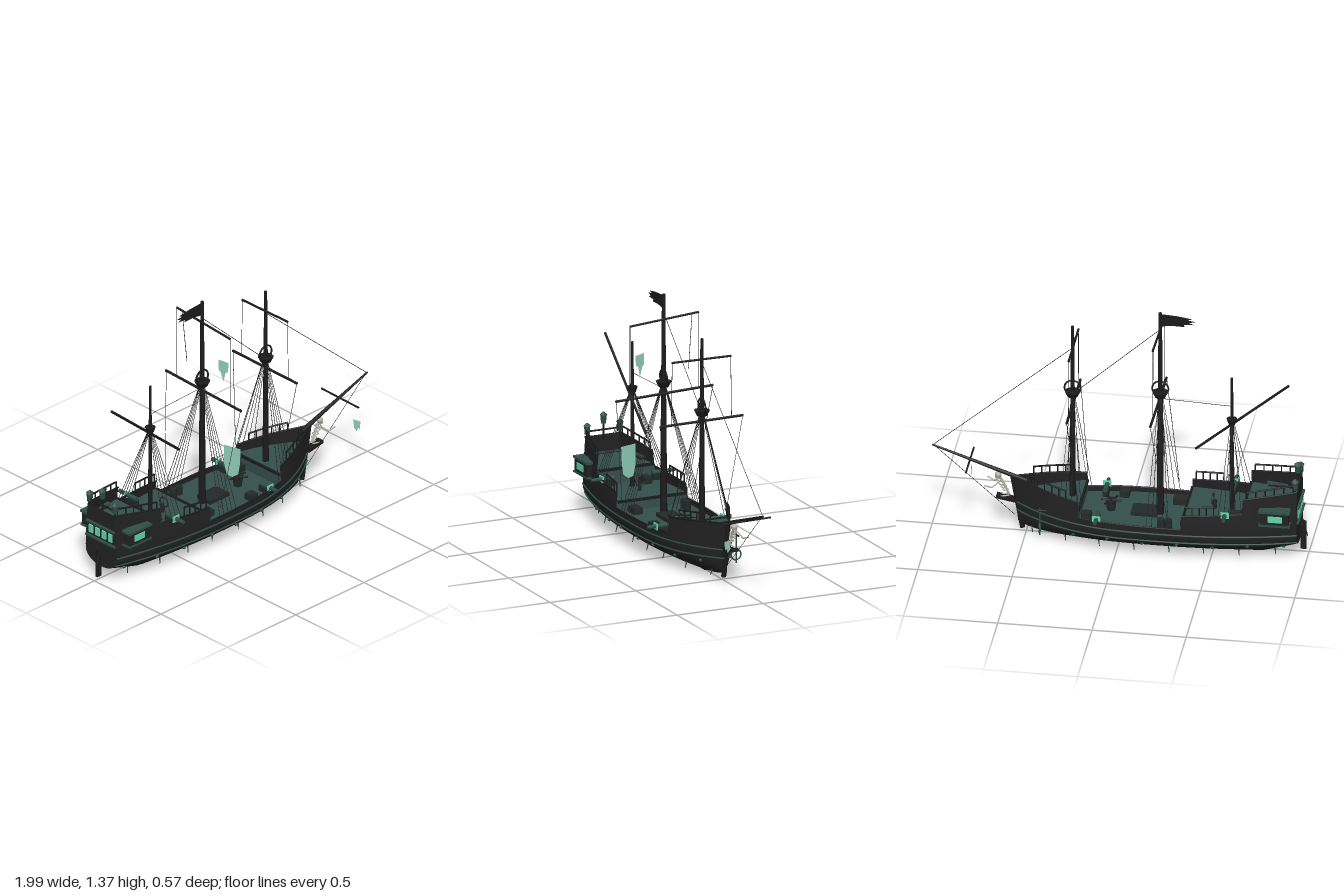
import * as THREE from 'three';

const mat = (name, color, side = THREE.FrontSide) => {
  const m = new THREE.MeshStandardMaterial({ color, side });
  m.name = name;
  return m;
};

export function createModel() {
  const ship = new THREE.Group();
  ship.name = 'ghostShip';
  const M = {
    hull: mat('blackened planks', 0x222222, THREE.DoubleSide),
    spar: mat('charred spar', 0x1c1c1c),
    rope: mat('rope', 0x262626),
    deck: mat('mossy deck', 0x34504a, THREE.DoubleSide),
    trim: mat('weathered green trim', 0x2f4f47),
    crate: mat('dark wood', 0x232a28),
    glow: mat('ghost glow', 0x66d8ae),
    sail: mat('tattered sail', 0x92cfba, THREE.DoubleSide),
    bone: mat('bone', 0xb4b4a6),
    cloth: mat('black cloth', 0x1b1b1b, THREE.DoubleSide),
  };
  const V = (x, y, z) => new THREE.Vector3(x, y, z);
  const add = (name, geo, m, x = 0, y = 0, z = 0, parent = ship) => {
    const mesh = new THREE.Mesh(geo, m);
    mesh.name = name;
    mesh.position.set(x, y, z);
    parent.add(mesh);
    return mesh;
  };
  const box = (name, m, w, h, d, x, y, z) => add(name, new THREE.BoxGeometry(w, h, d), m, x, y, z);
  const cyl = (name, m, rt, rb, h, x, y, z, n = 10) => add(name, new THREE.CylinderGeometry(rt, rb, h, n), m, x, y, z);
  // Tapered round bar from a to b
  const bar = (name, m, a, b, ra, rb = ra, n = 8) => {
    const d = b.clone().sub(a);
    const mesh = cyl(name, m, rb, ra, d.length(), 0, 0, 0, n);
    mesh.position.copy(a).addScaledVector(d, 0.5);
    mesh.quaternion.setFromUnitVectors(V(0, 1, 0), d.normalize());
    return mesh;
  };
  const rope = (a, b, name = 'rope') => bar(name, M.rope, a, b, 0.0016, 0.0016, 4);
  const tube = (name, m, pts, r, seg = 40) =>
    add(name, new THREE.TubeGeometry(new THREE.CatmullRomCurve3(pts), seg, r, 6), m);
  // Surface through equal-length rows of points
  const loft = (name, m, rows) => {
    const n = rows[0].length, idx = [];
    for (let i = 0; i < rows.length - 1; i++) for (let j = 0; j < n - 1; j++) {
      const a = i * n + j;
      idx.push(a, a + n, a + 1, a + 1, a + n, a + n + 1);
    }
    const g = new THREE.BufferGeometry().setFromPoints(rows.flat());
    g.setIndex(idx);
    g.computeVertexNormals();
    return add(name, g, m);
  };

  // Hull lines: half breadth, keel height, skin position
  const half = x => x < -0.25 ? 0.21 - 0.095 * ((-0.25 - x) / 0.7) ** 2
    : Math.max(0.004, 0.21 * (1 - ((x + 0.25) / 0.81) ** 2.9));
  const keelY = x => x < -0.77 ? 0.018 + (-0.77 - x) * 0.28 : x > 0.31 ? 0.018 + ((x - 0.31) / 0.25) ** 3 * 0.04 : 0.018;
  const skin = (x, y) => {
    if (y > 0.14) return half(x) * (1 - Math.max(0, y - 0.2) * 0.55);
    const k = Math.min(1, (0.14 - y) / (0.14 - keelY(x)));
    return half(x) * Math.sqrt(1 - k * k);
  };
  // Ship lengths: start, end, rail height at both, deck height
  const parts = [
    { name: 'poop', x0: -0.95, x1: -0.67, t0: 0.408, t1: 0.37, deck: 0.3 },
    { name: 'quarter', x0: -0.67, x1: -0.35, t0: 0.287, t1: 0.267, deck: 0.22 },
    { name: 'waist', x0: -0.35, x1: 0.2, t0: 0.19, t1: 0.197, deck: 0.165 },
    { name: 'fore', x0: 0.2, x1: 0.56, t0: 0.283, t1: 0.322, deck: 0.235 },
  ];
  const partAt = x => parts.find(p => x <= p.x1) || parts[3];
  const railY = x => { const p = partAt(x); return p.t0 + (p.t1 - p.t0) * (x - p.x0) / (p.x1 - p.x0); };
  const deckY = x => partAt(x).deck;

  const section = (x, top) => {
    const side = [];
    for (let j = 0; j <= 8; j++) {
      const a = j / 8 * Math.PI / 2;
      side.push([0.14 - Math.cos(a) * (0.14 - keelY(x)), half(x) * Math.sin(a)]);
    }
    for (let j = 1; j <= 4; j++) {
      const y = 0.14 + (top - 0.14) * j / 4;
      side.push([y, skin(x, y)]);
    }
    const rake = y => x > 0.5 ? (y - 0.2) * 0.12 * (x - 0.5) / 0.06 : 0;
    const pt = s => ([y, z]) => V(x + rake(y), y, s * z);
    return [...side.slice(1).reverse().map(pt(1)), ...side.map(pt(-1))];
  };
  parts.forEach((p, k) => {
    const N = 16, rows = [], deck = [];
    for (let i = 0; i <= N; i++) {
      const x = p.x0 + (p.x1 - p.x0) * i / N, top = p.t0 + (p.t1 - p.t0) * i / N, w = skin(x, p.deck);
      rows.push(section(x, top));
      deck.push([V(x, p.deck, w), V(x, p.deck, -w)]);
    }
    loft(p.name + 'Hull', M.hull, rows);
    loft(p.name + 'Deck', M.deck, deck);
    for (const s of [0, rows[0].length - 1]) tube(p.name + 'Gunwale', M.spar, rows.map(r => r[s]), 0.005, 24);
    // Bulkhead at each deck step
    if (k) {
      const lo = Math.min(p.deck, parts[k - 1].deck), hi = Math.max(p.deck, parts[k - 1].deck);
      loft('bulkhead', M.deck, [lo, hi].map(y => [V(p.x0, y, skin(p.x0, y)), V(p.x0, y, -skin(p.x0, y))]));
      box('deckBeam', M.spar, 0.012, 0.014, 2 * skin(p.x0, hi) - 0.01, p.x0, hi, 0);
    }
  });

  // Transom, stern windows, keel, stem and rudder
  const tr = section(-0.95, 0.408);
  loft('transom', M.hull, [tr, tr.map(v => V(v.x, v.y, 0))]);
  box('sternLedge', M.trim, 0.015, 0.01, 0.22, -0.955, 0.225, 0);
  box('sternLedge', M.trim, 0.015, 0.01, 0.21, -0.955, 0.31, 0);
  for (let i = -1.5; i <= 1.5; i++) box('sternWindow', M.glow, 0.008, 0.045, 0.03, -0.953, 0.267, i * 0.048);
  box('keel', M.spar, 1.08, 0.024, 0.018, -0.23, 0.012, 0);
  bar('stem', M.spar, V(0.52, 0.02, 0), V(0.575, 0.325, 0), 0.014, 0.012);
  box('rudder', M.spar, 0.03, 0.165, 0.014, -0.97, 0.1, 0);
  bar('rudderChain', M.rope, V(-0.99, 0.09, 0.01), V(-0.965, 0.19, 0.01), 0.003);

  for (const s of [1, -1]) {
    // Wales along the hull
    for (const y of [0.155, 0.108]) {
      const pts = [];
      for (let x = -0.95; x <= 0.551; x += 0.05) {
        const yy = y + 0.03 * Math.max(0, x) ** 2 * 2;
        pts.push(V(x, yy, s * (skin(x, yy) + 0.001)));
      }
      tube('wale', M.trim, pts, 0.005, 60);
    }
    // Quarter gallery
    box('gallery', M.hull, 0.15, 0.075, 0.05, -0.84, 0.277, s * 0.155);
    box('galleryRoof', M.trim, 0.165, 0.012, 0.06, -0.84, 0.318, s * 0.157);
    box('gallerySill', M.trim, 0.165, 0.01, 0.055, -0.84, 0.238, s * 0.157);
    box('galleryWindow', M.glow, 0.075, 0.036, 0.006, -0.845, 0.278, s * 0.181);
    // Railings above the bulwarks
    for (const [x0, x1, h, n] of [[-0.93, -0.69, 0.04, 5], [-0.52, -0.37, 0.05, 4], [0.27, 0.47, 0.045, 5]]) {
      const P = i => { const x = x0 + (x1 - x0) * i / n; return V(x, railY(x), s * (skin(x, railY(x)) - 0.004)); };
      const up = i => P(i).add(V(0, h, 0));
      for (let i = 0; i <= n; i++) bar('railPost', M.spar, P(i), up(i), 0.004, 0.004, 5);
      for (let i = 0; i < n; i++) bar('handrail', M.spar, up(i), up(i + 1), 0.005, 0.005, 5);
    }
    // Cannons with glowing ports
    for (const [x, y] of [[-0.58, 0.283], [0.1, 0.208]]) {
      const z = skin(x, y);
      bar('cannon', M.trim, V(x, y, s * (z - 0.07)), V(x, y, s * 0.243), 0.013, 0.01, 10);
      box('carriage', M.crate, 0.03, 0.03, 0.06, x, y - 0.025, s * (z - 0.04));
      box('gunPort', M.glow, 0.045, 0.034, 0.006, x, y, s * (z + 0.003));
    }
    // Barnacles and hanging weed
    for (let i = 0; i < 8; i++) {
      const x = -0.88 + i * 0.185, y = 0.08 + 0.012 * (i % 2), z = s * skin(x, y);
      add('barnacle', new THREE.IcosahedronGeometry(0.011, 0), M.trim, x, y, z);
      const w = 0.05 + 0.004 * (i % 3);
      bar('seaweed', M.trim, V(x + 0.05, w, s * skin(x + 0.05, w)), V(x + 0.045, w - 0.035, s * (skin(x + 0.05, w) + 0.006)), 0.004, 0.002, 5);
    }
  }

  // Stern lanterns
  for (const [z, y] of [[0, 0.495], [0.095, 0.445], [-0.095, 0.445]]) {
    bar('lanternPost', M.spar, V(-0.94, 0.38, z), V(-0.94, y - 0.02, z), 0.005);
    cyl('lantern', M.trim, 0.018, 0.015, 0.046, -0.94, y, z, 6);
    cyl('lanternCap', M.trim, 0.004, 0.022, 0.016, -0.94, y + 0.03, z, 6);
  }
  bar('taffrail', M.spar, V(-0.945, 0.435, 0.1), V(-0.945, 0.435, -0.1), 0.005);

  // Masts with tops, hoops and shrouds: x, top, nest height, nest radius, base radius
  for (const [x, top, nest, r, rb, hoop] of [[-0.21, 1.37, 0.88, 0.042, 0.02, 1], [0.255, 1.25, 0.845, 0.042, 0.018, 1], [-0.59, 1.01, 0.75, 0.028, 0.014, 0]]) {
    bar('mast', M.spar, V(x, 0.15, 0), V(x, top, 0), rb, rb * 0.45, 10);
    cyl('crowsNest', M.spar, r, r * 0.65, 0.03, x, nest, 0, 12);
    if (hoop) add('nestHoop', new THREE.TorusGeometry(0.043, 0.005, 6, 24), M.spar, x, nest + 0.035, 0);
    for (const s of [1, -1]) for (let i = 0; i < 5; i++) {
      const bx = x - 0.075 + i * 0.03, by = railY(bx);
      rope(V(x - 0.01 + i * 0.004, nest - 0.02, s * 0.012), V(bx, by, s * skin(bx, by)), 'shroud');
    }
  }

  // Yards and their hanging lines
  const yards = [[-0.2, 1.22, 1.25, 0.2, 0.006], [-0.2, 0.82, 0.84, 0.283, 0.007], [0.25, 1.137, 1.133, 0.172, 0.006], [0.25, 0.795, 0.8, 0.242, 0.007]];
  for (const [x, yl, yr, w, r] of yards) bar('yard', M.spar, V(x, yl, w), V(x, yr, -w), r);
  for (const s of [1, -1]) {
    rope(V(-0.2, s > 0 ? 1.22 : 1.25, s * 0.2), V(-0.2, 0.83, s * 0.2), 'sheet');
    rope(V(-0.2, 0.83, s * 0.28), V(-0.28, 0.24, s * 0.208), 'brace');
    rope(V(0.25, 1.135, s * 0.17), V(0.25, 0.8, s * 0.175), 'sheet');
    rope(V(0.25, 0.798, s * 0.24), V(0.2, 0.285, s * 0.17), 'brace');
  }
  rope(V(-0.2, 1.24, -0.16), V(-0.19, 0.95, -0.135), 'looseLine');
  bar('lateenYard', M.spar, V(-0.89, 0.98, 0.015), V(-0.395, 0.56, 0.015), 0.007);
  bar('bowsprit', M.spar, V(0.5, 0.3, 0), V(1, 0.475, 0), 0.013, 0.005);
  bar('spritYard', M.spar, V(0.8, 0.395, 0.14), V(0.8, 0.4, -0.14), 0.005);
  rope(V(-0.21, 1.27, 0), V(0.225, 0.87, 0), 'stay');
  rope(V(0.255, 1.12, 0), V(0.995, 0.475, 0), 'stay');
  rope(V(-0.59, 0.84, 0), V(-0.21, 0.855, 0), 'stay');
  rope(V(0.99, 0.473, 0), V(0.56, 0.09, 0), 'bobstay');

  // Torn sails, drawn as (z, y) outlines, and the ragged flag
  const outline = pts => new THREE.ShapeGeometry(new THREE.Shape(pts.map(p => new THREE.Vector2(...p))));
  const sail = (pts, x, y, z) => { add('sailScrap', outline(pts), M.sail, x, y, z).rotation.y = -1.3; };
  sail([[-0.05, 0.575], [0.05, 0.575], [0.045, 0.48], [0.035, 0.42], [0, 0.395], [-0.035, 0.4], [-0.05, 0.46]].map(([a, b]) => [a, b - 0.48]), -0.195, 0.48, 0.212);
  sail([[-0.03, 0.06], [0.03, 0.055], [0.028, 0], [0.012, -0.01], [0, -0.065], [-0.018, -0.01], [-0.03, 0]], -0.195, 1.005, 0.145);
  sail([[-0.022, 0.03], [0.022, 0.03], [0.02, -0.02], [0.01, -0.01], [0, -0.035], [-0.015, -0.02]], 0.81, 0.275, 0.115);
  add('flag', outline([[0, 0.036], [-0.09, 0.03], [-0.165, 0.018], [-0.14, 0.01], [-0.18, 0.003], [-0.15, -0.006], [-0.175, -0.016], [-0.12, -0.02], [-0.125, -0.032], [-0.06, -0.03], [0, -0.038]]), M.cloth, -0.215, 1.327, 0);

  // Beakhead and skeletal figurehead
  box('beakhead', M.spar, 0.11, 0.018, 0.04, 0.605, 0.19, 0).rotation.z = 0.18;
  add('skull', new THREE.SphereGeometry(0.018, 10, 8), M.bone, 0.65, 0.325, 0);
  box('jaw', M.bone, 0.016, 0.012, 0.018, 0.658, 0.308, 0);
  bar('spine', M.bone, V(0.64, 0.31, 0), V(0.59, 0.21, 0), 0.006);
  for (let i = 0; i < 4; i++) add('rib', new THREE.TorusGeometry(0.017 - i * 0.001, 0.003, 5, 12), M.bone, 0.64 - i * 0.01, 0.292 - i * 0.018, 0).rotation.x = Math.PI / 2;
  for (const s of [1, -1]) {
    bar('upperArm', M.bone, V(0.635, 0.3, s * 0.015), V(0.675, 0.265, s * 0.04), 0.004);
    bar('forearm', M.bone, V(0.675, 0.265, s * 0.04), V(0.715, 0.28, s * 0.052), 0.004);
    bar('leg', M.bone, V(0.59, 0.21, s * 0.01), V(0.64, 0.2, s * 0.014), 0.004);
  }

  // Anchor at the bow
  add('anchorRing', new THREE.TorusGeometry(0.028, 0.004, 6, 20), M.trim, 0.41, 0.095, -0.125).rotation.y = Math.PI / 2;
  bar('anchorShank', M.trim, V(0.41, 0.05, -0.125), V(0.41, 0.21, -0.125), 0.004);
  bar('anchorStock', M.spar, V(0.37, 0.2, -0.13), V(0.43, 0.2, -0.13), 0.005);

  // Deck fittings
  box('hatch', M.crate, 0.14, 0.022, 0.1, -0.13, 0.175, 0);
  for (const [x, z] of [[-0.62, -0.09], [-0.3, 0.12], [0, 0.155], [0.165, -0.11]]) {
    const w = x === -0.62 || x === -0.3 ? 0.075 : 0.05;
    box('crate', M.crate, w, 0.035, 0.05, x, deckY(x) + 0.018, z);
  }
  for (const x of [-0.275, -0.235]) cyl('barrel', M.crate, 0.02, 0.02, 0.05, x, 0.19, -0.15);
  cyl('capstan', M.crate, 0.03, 0.022, 0.06, 0.05, 0.195, 0, 10);
  for (let i = 0; i < 3; i++) {
    const a = i * Math.PI / 3, c = 0.055 * Math.cos(a), s = 0.055 * Math.sin(a);
    bar('capstanBar', M.spar, V(0.05 - c, 0.222, -s), V(0.05 + c, 0.222, s), 0.005);
  }
  bar('wheelPost', M.crate, V(-0.5, 0.22, 0), V(-0.5, 0.27, 0), 0.01);
  add('wheel', new THREE.TorusGeometry(0.028, 0.004, 6, 18), M.crate, -0.49, 0.275, 0).rotation.y = Math.PI / 2;
  return ship;
}
